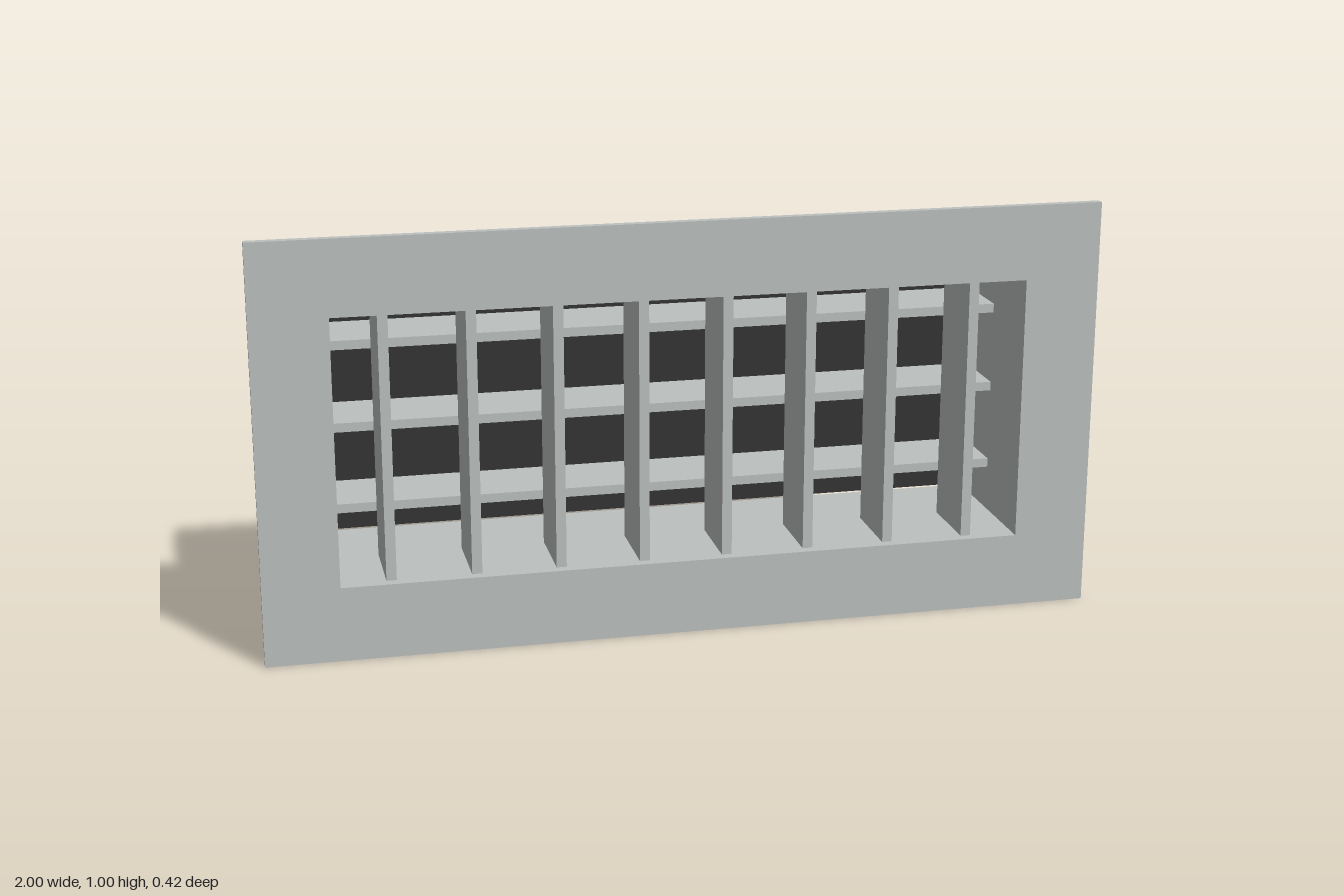
import * as THREE from 'three';

const paintedMetal = new THREE.MeshStandardMaterial({ color: 0xbcc0bf });
paintedMetal.name = 'paintedMetal';
const darkBacking = new THREE.MeshStandardMaterial({ color: 0x333333 });
darkBacking.name = 'darkBacking';

const MID_Y = 0.5;
const OPEN_W = 1.64, OPEN_H = 0.64; // clear opening

// Rectangular frame around the opening, from zBack to zFront
function frame(name, w, h, zBack, zFront) {
  const rect = (Type, a, b) => new Type([
    new THREE.Vector2(-a / 2, -b / 2), new THREE.Vector2(a / 2, -b / 2),
    new THREE.Vector2(a / 2, b / 2), new THREE.Vector2(-a / 2, b / 2),
  ]);
  const shape = rect(THREE.Shape, w, h);
  shape.holes.push(rect(THREE.Path, OPEN_W, OPEN_H));
  const geo = new THREE.ExtrudeGeometry(shape, { depth: zFront - zBack, bevelEnabled: false });
  const mesh = new THREE.Mesh(geo, paintedMetal);
  mesh.name = name;
  mesh.position.set(0, MID_Y, zBack);
  return mesh;
}

function slab(name, size, position, material) {
  const mesh = new THREE.Mesh(new THREE.BoxGeometry(...size), material);
  mesh.name = name;
  mesh.position.set(...position);
  return mesh;
}

export function createModel() {
  const model = new THREE.Group();
  model.name = 'ventGrille';

  // Face flange and the duct collar behind it
  model.add(frame('faceFlange', 2, 1, 0.19, 0.21));
  model.add(frame('ductCollar', 1.66, 0.67, -0.19, 0.19));

  // Front row of upright blades
  const blades = new THREE.Group();
  blades.name = 'verticalBlades';
  for (let i = 0; i < 8; i++) {
    blades.add(slab('verticalBlade', [0.024, OPEN_H, 0.18], [-0.7 + i * 0.2, MID_Y, 0.095], paintedMetal));
  }
  model.add(blades);

  // Rear row of level blades
  const rearBlades = new THREE.Group();
  rearBlades.name = 'horizontalBlades';
  for (let i = 0; i < 3; i++) {
    rearBlades.add(slab('horizontalBlade', [OPEN_W, 0.022, 0.18], [0, 0.3 + i * 0.2, -0.09], paintedMetal));
  }
  model.add(rearBlades);

  // Dark panel just behind the collar
  model.add(slab('backPanel', [OPEN_W, OPEN_H, 0.01], [0, MID_Y, -0.205], darkBacking));

  return model;
}
